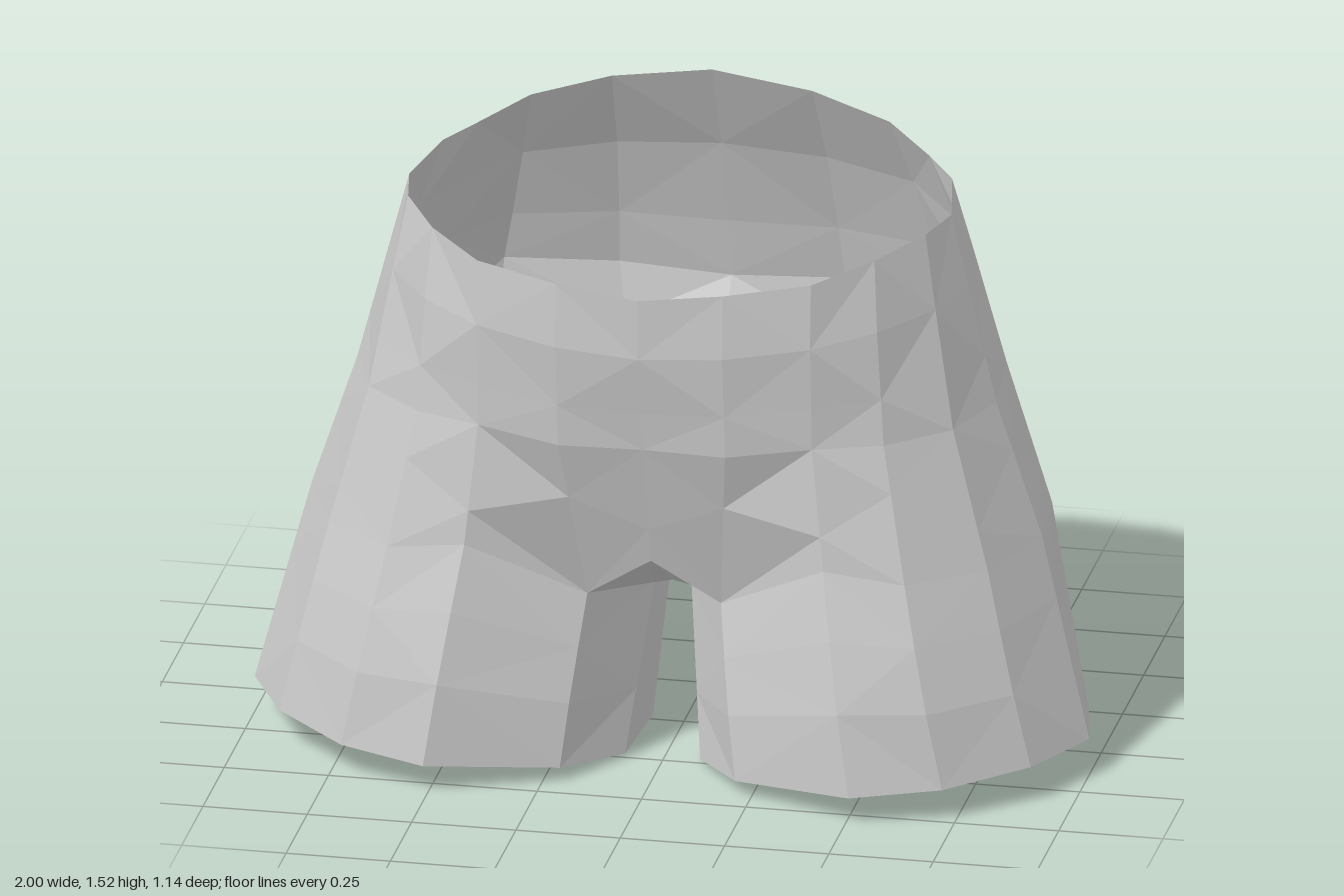
import * as THREE from 'three';

const material = new THREE.MeshStandardMaterial({ color: 0xcccccc, flatShading: true, side: THREE.DoubleSide });

// Cross-sections of the left half (+x): front centre, round the outside, to back centre
const waist = [
  [0, 1.28, 0.55], [0.2, 1.3, 0.53], [0.4, 1.32, 0.47], [0.53, 1.35, 0.36], [0.62, 1.36, 0.2], [0.65, 1.35, 0.04],
  [0.61, 1.36, -0.16], [0.54, 1.38, -0.24], [0.43, 1.43, -0.31], [0.24, 1.485, -0.33], [0, 1.52, -0.33],
];
const seat = [
  [0, 0.88, 0.49], [0.2, 0.88, 0.5], [0.4, 0.9, 0.46], [0.56, 0.9, 0.4], [0.7, 0.9, 0.27], [0.765, 0.9, 0.08],
  [0.75, 0.92, -0.12], [0.67, 0.94, -0.3], [0.53, 0.94, -0.49], [0.27, 0.92, -0.57], [0, 0.91, -0.56],
];
// Closed leg loops: nine outer points, then three along the inner thigh, back to front
const legTop = [
  [0.16, 0.45, 0.35], [0.43, 0.6, 0.475], [0.62, 0.57, 0.45], [0.79, 0.56, 0.3], [0.875, 0.57, 0.08], [0.85, 0.56, -0.16],
  [0.74, 0.54, -0.37], [0.56, 0.52, -0.48], [0.22, 0.53, -0.53], [0.07, 0.43, -0.22], [0.035, 0.4, -0.03], [0.045, 0.4, 0.13],
];
const hem = [
  [0.21, 0.035, 0.43], [0.51, 0.07, 0.57], [0.72, 0.08, 0.5], [0.9, 0.09, 0.34], [1, 0.09, 0.14], [0.95, 0.07, -0.1],
  [0.87, 0.04, -0.28], [0.64, 0.02, -0.45], [0.4, 0, -0.49], [0.16, 0, -0.35], [0.08, 0, -0.03], [0.09, 0.01, 0.25],
];
const crotchFront = [0, 0.56, 0.39];
const crotchBack = [0, 0.58, -0.36];

// Row between two cross-sections, with an optional scale of its depth
const between = (a, b, t, depth = () => 1) => a.map((p, i) => {
  const q = p.map((v, k) => v + (b[i][k] - v) * t);
  return [q[0], q[1], q[2] * depth(i)];
});

// Triangles joining consecutive rows
function loft(rows, closed) {
  const tris = [];
  const n = rows[0].length;
  for (let r = 0; r < rows.length - 1; r++) {
    for (let c = 0; c < (closed ? n : n - 1); c++) {
      const d = (c + 1) % n;
      const [a, b, e, f] = [rows[r][c], rows[r + 1][c], rows[r + 1][d], rows[r][d]];
      // alternating diagonals give a faceted cloth look
      if ((r + c) % 2) tris.push([a, b, e], [a, e, f]);
      else tris.push([a, b, f], [b, e, f]);
    }
  }
  return tris;
}

const mirrored = (tris) => tris.map((t) => [t[0], t[2], t[1]].map(([x, y, z]) => [-x, y, z]));

function addPart(group, name, tris) {
  const geometry = new THREE.BufferGeometry();
  geometry.setAttribute('position', new THREE.Float32BufferAttribute(tris.flat(2), 3));
  geometry.computeVertexNormals();
  const mesh = new THREE.Mesh(geometry, material);
  mesh.name = name;
  group.add(mesh);
}

export function createModel() {
  const group = new THREE.Group();
  group.name = 'shorts';

  // Hips, from the waistband down to the leg openings, tucked under the seat at the back centre
  const bottom = [crotchFront, ...legTop.slice(0, 9), crotchBack];
  const hips = loft([
    waist,
    between(waist, seat, 0.38, (i) => (i > 6 ? 1.07 : 1.03)),
    between(waist, seat, 0.75, (i) => (i > 6 ? 1.04 : 1.01)),
    seat,
    between(seat, bottom, 0.35, (i) => (i === 8 ? 0.98 : 1)),
    between(seat, bottom, 0.72, (i) => (i === 8 ? 0.97 : 1)),
    bottom,
  ]);
  addPart(group, 'hips', [...hips, ...mirrored(hips)]);

  // Legs, flaring towards the hem
  const leg = loft([
    legTop,
    between(legTop, hem, 0.3, (i) => (i < 4 ? 1.03 : 1)),
    between(legTop, hem, 0.62, (i) => (i < 4 ? 1.04 : 1)),
    hem,
  ], true);
  addPart(group, 'leftLeg', leg);
  addPart(group, 'rightLeg', mirrored(leg));

  // Gusset between the legs
  const thigh = [legTop[11], legTop[10], legTop[9]];
  const middle = thigh.map(([, y, z]) => [0, y + 0.01, z]);
  const gusset = [
    [crotchFront, thigh[0], legTop[0]],
    [crotchFront, middle[0], thigh[0]],
    ...loft([0, 1, 2].map((i) => [middle[i], thigh[i]])),
    [middle[2], crotchBack, thigh[2]],
    [thigh[2], crotchBack, legTop[8]],
  ];
  addPart(group, 'gusset', [...gusset, ...mirrored(gusset)]);
  return group;
}
